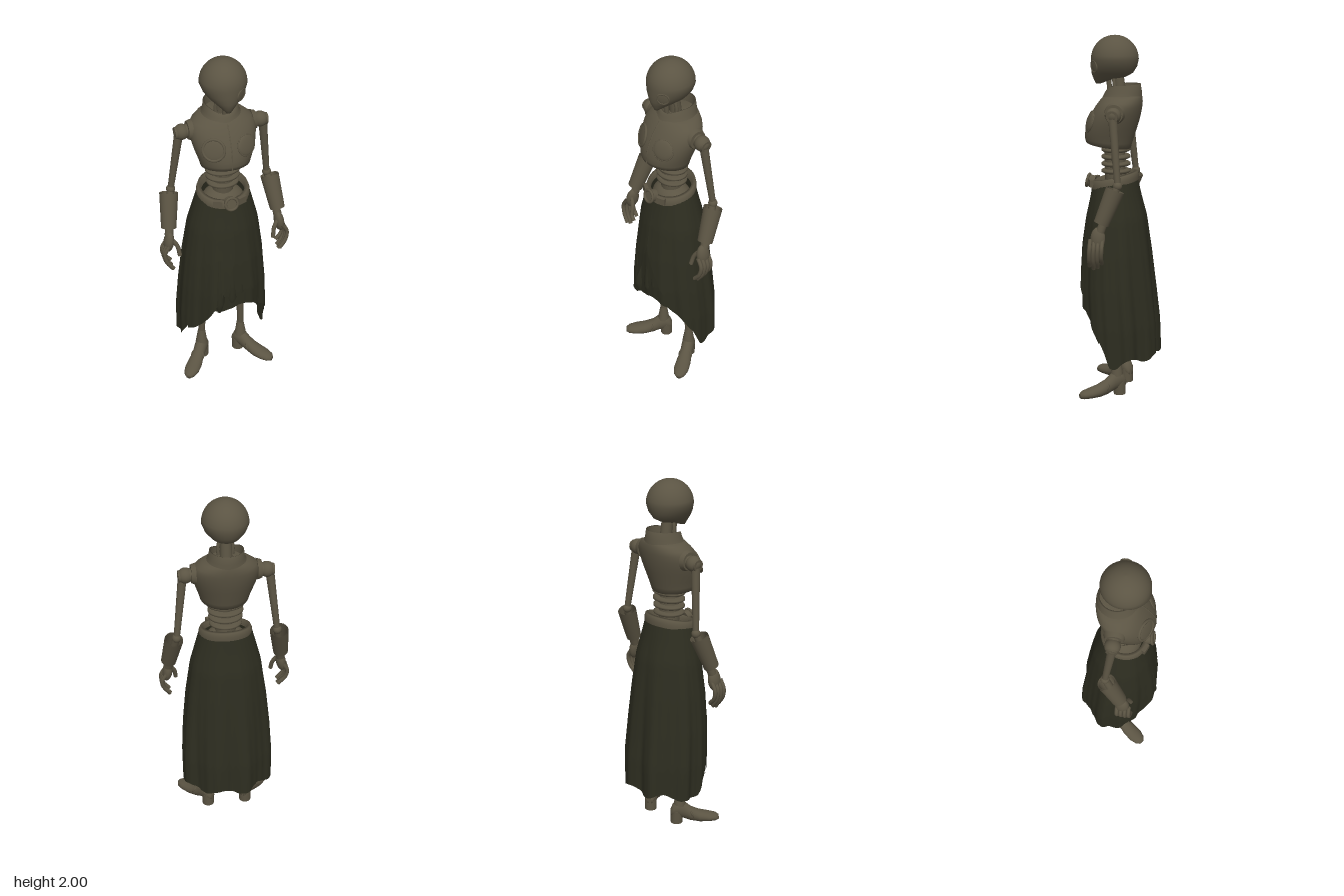
import * as THREE from 'three';

const shell = new THREE.MeshStandardMaterial({ color: 0x5b5443, side: THREE.DoubleSide });
shell.name = 'shell';
const cloth = new THREE.MeshStandardMaterial({ color: 0x2d2d20, side: THREE.DoubleSide });
cloth.name = 'cloth';

const V = (x, y, z) => new THREE.Vector3(x, y, z);

// surface from a rule: fn(u, v) -> [x, y, z], u around, v upward
function grid(nu, nv, fn, closed, caps) {
  const pos = [], idx = [], cols = closed ? nu : nu + 1;
  for (let j = 0; j <= nv; j++)
    for (let i = 0; i < cols; i++) pos.push(...fn(i / nu, j / nv));
  for (let j = 0; j < nv; j++)
    for (let i = 0; i < nu; i++) {
      const k = (i + 1) % cols, a = j * cols + i, b = j * cols + k;
      idx.push(a, b, b + cols, a, b + cols, a + cols);
    }
  if (caps) [0, nv].forEach((j) => {
    const c = [0, 0, 0], n = pos.length / 3;
    for (let i = 0; i < cols; i++)
      for (let d = 0; d < 3; d++) c[d] += pos[(j * cols + i) * 3 + d] / cols;
    pos.push(...c);
    for (let i = 0; i < cols; i++) {
      const a = j * cols + i, b = j * cols + (i + 1) % cols;
      idx.push(...(j ? [a, b, n] : [b, a, n]));
    }
  });
  const g = new THREE.BufferGeometry();
  g.setAttribute('position', new THREE.Float32BufferAttribute(pos, 3));
  g.setIndex(idx);
  g.computeVertexNormals();
  return g;
}

// oval cross-sections: [y, half width, front z, back z, forward tilt, front notch]
function loft(rows, caps = true, n = 36) {
  return grid(n, rows.length - 1, (u, v) => {
    const [y, rx, zf, zb, tilt = 0, notch = 0] = rows[Math.round(v * (rows.length - 1))];
    const a = u * Math.PI * 2, c = Math.cos(a);
    return [rx * Math.sin(a), y + tilt * c - notch * Math.pow(Math.max(0, c), 3), (zf + zb) / 2 + c * (zf - zb) / 2];
  }, true, caps);
}

function add(parent, name, geo, mat, p) {
  const m = new THREE.Mesh(geo, mat);
  m.name = name;
  if (p) m.position.copy(p);
  parent.add(m);
  return m;
}

// tapered rod between two points
function rod(parent, name, a, b, ra, rb, open = false) {
  const d = b.clone().sub(a);
  const m = add(parent, name, new THREE.CylinderGeometry(rb, ra, d.length(), 20, 1, open), shell,
    a.clone().add(b).multiplyScalar(0.5));
  m.quaternion.setFromUnitVectors(V(0, 1, 0), d.normalize());
}

const ball = (parent, name, p, r, sx = 1, sy = 1, sz = 1) =>
  add(parent, name, new THREE.SphereGeometry(r, 24, 16).scale(sx, sy, sz), shell, p);

const tube = (parent, name, pts, r) =>
  add(parent, name, new THREE.TubeGeometry(new THREE.CatmullRomCurve3(pts), 14, r, 8), shell);

// round port: low dome with a raised rim, facing a direction
function port(parent, name, p, dir, r, dome, rim) {
  const g = new THREE.Group();
  g.name = name;
  g.position.copy(p);
  g.quaternion.setFromUnitVectors(V(0, 0, 1), dir.normalize());
  add(g, name + 'Rim', new THREE.TorusGeometry(r, rim, 8, 32), shell);
  add(g, name + 'Face', new THREE.SphereGeometry(r, 24, 12).scale(1, 1, dome), shell);
  parent.add(g);
}

// skirt outline: [y, half width, front z, back z]
const outline = [
  [0.15, 0.253, 0.19, -0.222], [0.4, 0.256, 0.2, -0.216], [0.6, 0.246, 0.207, -0.197],
  [0.8, 0.228, 0.2, -0.176], [1.0, 0.2, 0.18, -0.15], [1.12, 0.168, 0.158, -0.12], [1.24, 0.135, 0.14, -0.095]];
function skirtPoint(a, y, grow) {
  let i = 0;
  while (i < outline.length - 2 && y > outline[i + 1][0]) i++;
  const A = outline[i], B = outline[i + 1], t = (y - A[0]) / (B[0] - A[0]);
  const [, rx, zf, zb] = A.map((q, k) => q + (B[k] - q) * t);
  const drop = Math.min(1, Math.max(0, (1.2 - y) / 0.9));
  const back = Math.max(0, -Math.cos(a));
  const fold = (0.025 + 0.045 * back) * -Math.cos(8 * a) + 0.018 * Math.sin(13 * a + 0.6 + y) + 0.008 * Math.sin(27 * a + 2 * y);
  const s = grow * (1 + fold * drop);
  return [rx * s * Math.sin(a), y, (zf + zb) / 2 + s * Math.cos(a) * (zf - zb) / 2];
}
const waist = (a) => 1.2 - 0.028 * Math.cos(a);
function hem(a) {
  const c = Math.cos(a);
  const rise = Math.min(1, Math.max(0, (c - 0.12) / 0.7));
  return 0.225 + 0.27 * rise + 0.015 * Math.sin(7 * a) - 0.03 * Math.exp(-Math.pow(c / 0.25, 2));
}

function buildArm(root, s) {
  const arm = new THREE.Group();
  arm.name = s > 0 ? 'leftArm' : 'rightArm';
  root.add(arm);
  rod(arm, 'shoulderDisc', V(s * 0.165, 1.59, -0.005), V(s * 0.19, 1.59, -0.005), 0.058, 0.05);
  rod(arm, 'shoulderAxle', V(s * 0.18, 1.588, -0.008), V(s * 0.258, 1.582, -0.008), 0.037, 0.032);
  ball(arm, 'shoulderBall', V(s * 0.22, 1.585, -0.008), 0.043);
  rod(arm, 'upperArm', V(s * 0.236, 1.57, -0.008), V(s * 0.277, 1.22, -0.042), 0.024, 0.017);
  ball(arm, 'elbow', V(s * 0.278, 1.215, -0.042), 0.025);
  rod(arm, 'forearm', V(s * 0.28, 1.21, -0.04), V(s * 0.318, 0.97, 0.045), 0.02, 0.024);
  rod(arm, 'cuff', V(s * 0.292, 1.197, -0.032), V(s * 0.317, 1.015, 0.039), 0.052, 0.042, true);
  rod(arm, 'cuffLining', V(s * 0.292, 1.197, -0.032), V(s * 0.317, 1.02, 0.037), 0.044, 0.037, true);
  const palm = ball(arm, 'palm', V(s * 0.323, 0.935, 0.056), 0.05, 0.56, 1.25, 0.8);
  palm.rotation.z = s * 0.15;
  for (let i = 0; i < 4; i++) {
    const z = 0.03 + i * 0.022, e = [0.03, 0.008, 0, 0.015][i];
    tube(arm, 'finger', [V(s * 0.33, 0.93, z), V(s * 0.357, 0.882, z), V(s * 0.347, 0.82 + e / 2, z + 0.004),
      V(s * 0.312, 0.766 + e, z + 0.008)], 0.0115);
  }
  tube(arm, 'thumb', [V(s * 0.312, 0.96, 0.07), V(s * 0.283, 0.915, 0.086), V(s * 0.273, 0.86, 0.1)], 0.012);
}

function buildLeg(root, s) {
  const leg = new THREE.Group();
  leg.name = s > 0 ? 'leftLeg' : 'rightLeg';
  root.add(leg);
  rod(leg, 'thigh', V(s * 0.1, 0.58, 0.02), V(s * 0.075, 1.14, 0.02), 0.034, 0.05);
  ball(leg, 'knee', V(s * 0.102, 0.56, 0.02), 0.036);
  rod(leg, 'shin', V(s * 0.124, 0.14, -0.012), V(s * 0.104, 0.56, 0.018), 0.017, 0.025);
  // shoe turned outward, with a raised heel
  const shoe = new THREE.Group();
  shoe.name = 'shoe';
  shoe.position.set(s * 0.124, 0, -0.005);
  shoe.rotation.y = s * 0.65;
  leg.add(shoe);
  const rows = [[-0.055, 0.018, 0.045, 0.085], [-0.042, 0.03, 0.04, 0.115], [-0.015, 0.037, 0.035, 0.145],
    [0.02, 0.036, 0.025, 0.13], [0.06, 0.035, 0.008, 0.095], [0.11, 0.043, 0, 0.07], [0.165, 0.044, 0, 0.055],
    [0.205, 0.033, 0.001, 0.046], [0.223, 0.016, 0.006, 0.034]].map(([l, w, lo, hi]) => [l, w, -lo, -hi]);
  add(shoe, 'shoeUpper', loft(rows, true, 20).rotateX(Math.PI / 2), shell);
  rod(shoe, 'heel', V(0, 0, -0.022), V(0, 0.075, -0.02), 0.034, 0.036);
  rod(shoe, 'ankleShaft', V(0, 0.11, -0.004), V(0, 0.21, -0.006), 0.035, 0.019);
  const strap = add(shoe, 'strap', new THREE.TorusGeometry(0.035, 0.006, 8, 24), shell, V(0, 0.056, 0.068));
  strap.rotation.x = -0.5;
}

export function createModel() {
  const root = new THREE.Group();
  root.name = 'robotFigure';

  // head: round skull narrowing to a pointed chin
  const skull = [[1.735, 0.014, 0.132, 0.105], [1.755, 0.036, 0.141, 0.05], [1.772, 0.058, 0.149, -0.03],
    [1.795, 0.084, 0.155, -0.074], [1.83, 0.111, 0.157, -0.096]];
  for (let i = 0; i <= 9; i++) {
    const t = (i / 9) * Math.PI / 2, r = 0.13 * Math.cos(t) + 0.0005;
    skull.push([1.87 + 0.13 * Math.sin(t), r * 0.97, 0.026 + r, 0.026 - r]);
  }
  const head = new THREE.Group();
  head.name = 'head';
  root.add(head);
  add(head, 'skull', loft(skull), shell);
  port(head, 'eye', V(0.066, 1.832, 0.128), V(0.6, -0.12, 0.75), 0.032, 0.15, 0.005);
  rod(head, 'neck', V(0, 1.64, -0.01), V(0, 1.8, 0.01), 0.034, 0.03);
  for (const s of [-1, 1])
    tube(head, 'neckHose', [V(s * 0.035, 1.66, 0.02), V(s * 0.04, 1.72, 0.02), V(s * 0.025, 1.79, 0.03)], 0.01);
  tube(head, 'throatHose', [V(0, 1.66, 0.05), V(0, 1.7, 0.055), V(0, 1.77, 0.06)], 0.014);

  // chest shell and collar
  const torso = new THREE.Group();
  torso.name = 'torso';
  root.add(torso);
  add(torso, 'chest', loft([[1.41, 0.11, 0.16, -0.035, 0.018], [1.398, 0.135, 0.186, -0.06, 0.018],
    [1.425, 0.142, 0.191, -0.07, 0.012], [1.46, 0.154, 0.19, -0.083, 0.005], [1.5, 0.167, 0.183, -0.097],
    [1.54, 0.177, 0.17, -0.109], [1.58, 0.183, 0.15, -0.118], [1.615, 0.18, 0.129, -0.124],
    [1.64, 0.164, 0.11, -0.126], [1.665, 0.13, 0.09, -0.125], [1.68, 0.09, 0.06, -0.12]]), shell);
  add(torso, 'collar', loft([[1.65, 0.122, 0.1, -0.125], [1.69, 0.096, 0.085, -0.123, -0.004, 0.008],
    [1.732, 0.092, 0.074, -0.116, -0.005, 0.03], [1.728, 0.083, 0.065, -0.107, -0.005, 0.03],
    [1.67, 0.085, 0.065, -0.11]], false), shell);
  for (const s of [-1, 1])
    port(torso, 'chestPort', V(s * 0.09, 1.535, 0.146), V(s * 0.42, 0.28, 0.85), 0.058, s > 0 ? 0.24 : 0.16, s > 0 ? 0.004 : 0.008);
  tube(torso, 'chestSeam', [V(0, 1.42, 0.189), V(0, 1.5, 0.181), V(0, 1.58, 0.148), V(0, 1.65, 0.1)], 0.004);

  // ribbed waist
  rod(torso, 'spine', V(0, 1.15, 0.02), V(0, 1.43, 0.03), 0.058, 0.058);
  for (let i = 0; i < 4; i++) {
    const y = 1.255 + i * 0.04, w = 0.09 + 0.004 * i;
    add(torso, 'waistDisc', loft([[y - 0.011, w - 0.012, 0.09, -0.05], [y - 0.005, w, 0.1, -0.06],
      [y + 0.005, w, 0.1, -0.06], [y + 0.011, w - 0.012, 0.09, -0.05]]), shell);
  }

  // belt, buckle and pelvis
  const belt = new THREE.Group();
  belt.name = 'belt';
  root.add(belt);
  add(belt, 'beltBand', loft([[1.18, 0.148, 0.157, -0.105, -0.026], [1.202, 0.149, 0.158, -0.107, -0.028],
    [1.227, 0.14, 0.15, -0.102, -0.028], [1.23, 0.125, 0.135, -0.088, -0.028],
    [1.19, 0.12, 0.13, -0.08, -0.02]], false), shell);
  ball(belt, 'pelvis', V(0, 1.14, 0.02), 0.1, 1.2, 0.8, 1);
  rod(belt, 'buckle', V(0, 1.187, 0.14), V(0, 1.196, 0.178), 0.034, 0.034);
  add(belt, 'buckleRing', new THREE.TorusGeometry(0.034, 0.008, 8, 28), shell, V(0, 1.196, 0.178)).rotation.x = -0.23;
  for (const s of [-1, 1]) {
    const clip = add(belt, 'beltClip', new THREE.BoxGeometry(0.05, 0.04, 0.02), shell, V(s * 0.068, 1.19, 0.147));
    clip.rotation.y = s * 0.4;
  }

  for (const s of [-1, 1]) {
    buildArm(root, s);
    buildLeg(root, s);
  }

  // long folded skirt, open at the front
  const skirt = new THREE.Group();
  skirt.name = 'skirt';
  root.add(skirt);
  add(skirt, 'mainSkirt', grid(160, 36, (u, v) => {
    const a = u * Math.PI * 2, lo = hem(a);
    return skirtPoint(a, lo + (waist(a) - lo) * v, 1);
  }, true), cloth);
  // overlapping front drapes that part below the belt, the right one fuller
  for (const s of [-1, 1])
    add(skirt, 'frontDrape', grid(40, 24, (u, v) => {
      const k = s > 0 ? u : 1 - u, a = s * k * 1.15 + 0.05;
      const lo = 0.87 - 0.55 * Math.pow(k, 0.75) - (s < 0 ? 0.1 * Math.sin(Math.PI * k) : 0);
      const y = lo + (waist(a) - lo) * v;
      const swell = s < 0 ? 0.09 * Math.sin(Math.PI * Math.min(1, k + 0.25)) : 0.05 * (1 - k);
      return skirtPoint(a, y, 1 + swell * (1 - v) + 0.012 * (1 - v));
    }, false), cloth);
  // hanging folds inside the opening
  for (const [x, y, z] of [[-0.075, 0.48, 0.2], [0.0, 0.5, 0.19], [0.05, 0.53, 0.18]])
    add(skirt, 'hangingFold', loft([[y, 0.012, z + 0.005, z - 0.02], [y + 0.07, 0.028, z + 0.025, z - 0.03],
      [y + 0.2, 0.022, z + 0.015, z - 0.03], [y + 0.36, 0.008, z, z - 0.03]], true, 14), cloth, V(x, 0, 0));
  return root;
}
